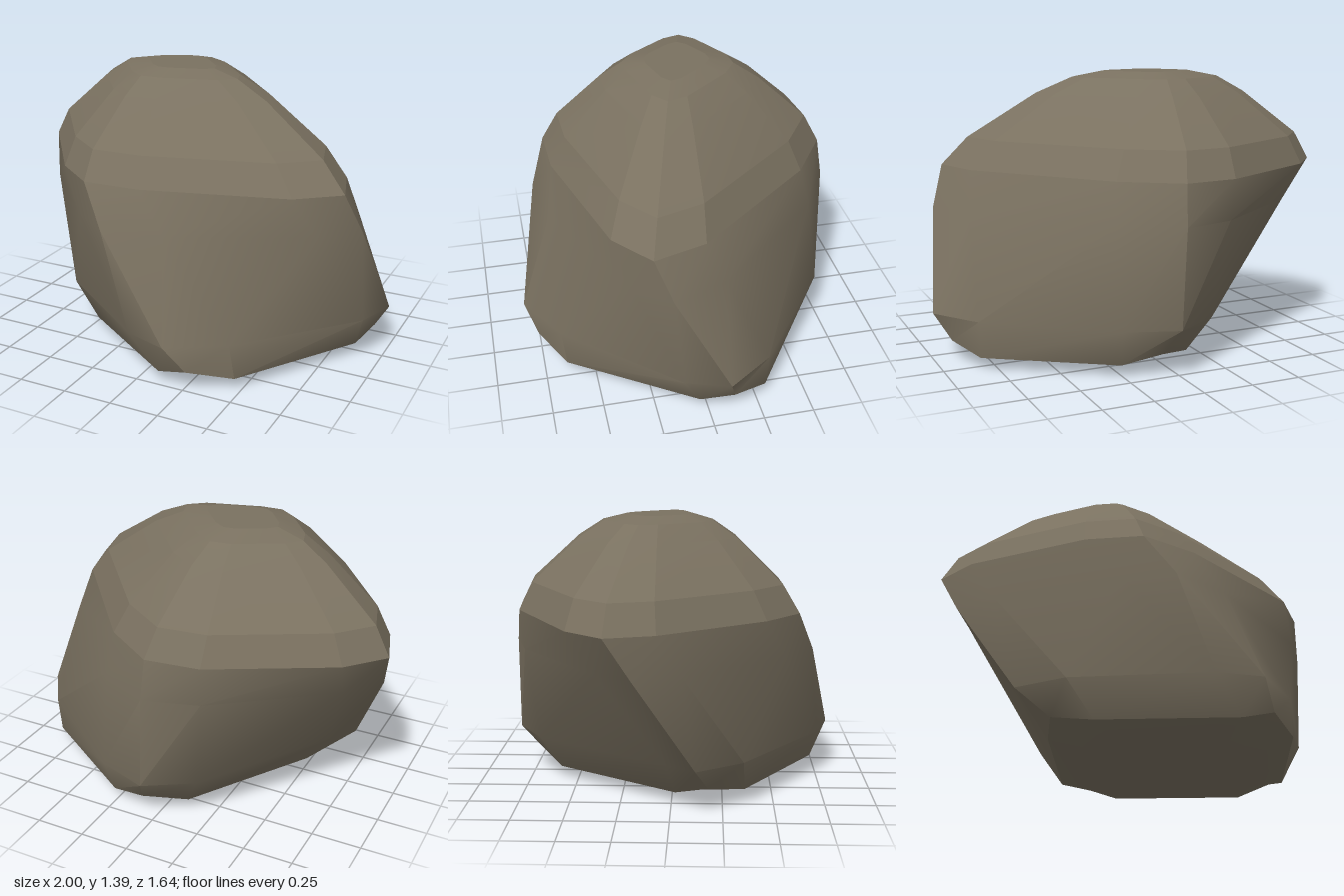
import * as THREE from 'three';
import { toCreasedNormals } from 'three/addons/utils/BufferGeometryUtils.js';

// Rings are twelve x,z pairs: left, front, right and back corner, each with a neighbour either side.
const SHOULDER = [
  -0.84, -0.46, -1, -0.28, -0.93, -0.05, -0.56, 0.45, -0.34, 0.62, -0.05, 0.61,
  0.65, 0.42, 0.85, 0.26, 0.77, 0, 0.26, -0.61, -0.01, -0.79, -0.28, -0.76];
const WAIST = [
  -0.81, -0.34, -0.95, -0.16, -0.86, 0.06, -0.42, 0.55, -0.21, 0.7, 0.1, 0.65,
  0.75, 0.35, 0.92, 0.18, 0.81, -0.09, 0.28, -0.66, 0, -0.82, -0.27, -0.74];
const HIP = [
  -0.64, -0.02, -0.74, 0.12, -0.59, 0.35, -0.04, 0.75, 0.18, 0.82, 0.45, 0.66,
  0.93, 0.13, 1, -0.08, 0.84, -0.31, 0.28, -0.73, 0.02, -0.82, -0.21, -0.68];
const FOOT = [
  -0.51, 0.02, -0.58, 0.18, -0.45, 0.36, 0.11, 0.73, 0.27, 0.76, 0.47, 0.64,
  0.87, 0.04, 0.92, -0.12, 0.83, -0.3, 0.26, -0.67, 0.07, -0.72, -0.12, -0.59];

// Raises a ring to height y; corners may sit at their own height.
function ring(points, y, cornerY = y) {
  return Array.from({ length: 12 }, (_, i) =>
    new THREE.Vector3(points[2 * i], i % 3 === 1 ? cornerY : y, points[2 * i + 1]));
}

// Shrinks a ring about (fromX, fromZ) and moves it to (toX, toZ) at height y.
function scaledRing(points, scale, y, [fromX, fromZ], [toX, toZ]) {
  return ring(points.map((v, i) => (i % 2
    ? toZ + (v - fromZ) * scale
    : toX + (v - fromX) * scale)), y);
}

// Skins rings from bottom to top, optionally closing an end.
function skin(rings, crease, capBottom, capTop) {
  const pos = [];
  const tri = (...vs) => vs.forEach((v) => pos.push(v.x, v.y, v.z));
  for (let r = 0; r < rings.length - 1; r++) {
    const lo = rings[r], hi = rings[r + 1];
    for (let i = 0; i < 12; i++) {
      const j = (i + 1) % 12;
      tri(lo[i], lo[j], hi[j]);
      tri(lo[i], hi[j], hi[i]);
    }
  }
  const cap = (loop, up) => {
    const c = loop.reduce((s, v) => s.add(v), new THREE.Vector3()).divideScalar(12);
    loop.forEach((v, i) => {
      const w = loop[(i + 1) % 12];
      if (up) tri(c, v, w); else tri(c, w, v);
    });
  };
  if (capBottom) cap(rings[0], false);
  if (capTop) cap(rings[rings.length - 1], true);
  const geo = new THREE.BufferGeometry();
  geo.setAttribute('position', new THREE.Float32BufferAttribute(pos, 3));
  geo.computeVertexNormals();
  return toCreasedNormals(geo, crease);
}

export function createModel() {
  const group = new THREE.Group();
  group.name = 'boulder';
  const stone = new THREE.MeshStandardMaterial({ color: 0x7a7160 });
  stone.name = 'stone';

  const add = (name, geometry) => {
    const mesh = new THREE.Mesh(geometry, stone);
    mesh.name = name;
    group.add(mesh);
  };

  const foot = ring(FOOT, 0.06, 0.105);
  const shoulder = ring(SHOULDER, 0.92);
  const mid = [-0.075, -0.085];

  // Underside: shallow bevel closing to a flat base
  const base = scaledRing(FOOT, 0.65, 0, [0.22, 0.05], [0.22, 0.05]);
  add('underside', skin([base, foot], 0.6, true, false));

  // Twisted, smooth sides with sharp corner edges
  add('sides', skin([foot, ring(HIP, 0.24), ring(WAIST, 0.72), shoulder], 0.6, false, false));

  // Faceted crown, each ring a smaller copy of the shoulder
  const crown = [[0.89, 1.06, -0.1, -0.09], [0.56, 1.28, -0.13, -0.08],
    [0.39, 1.36, -0.15, -0.075], [0.23, 1.39, -0.15, -0.065]]
    .map(([s, y, x, z]) => scaledRing(SHOULDER, s, y, mid, [x, z]));
  add('crown', skin([shoulder, ...crown], 0.2, false, true));

  return group;
}
